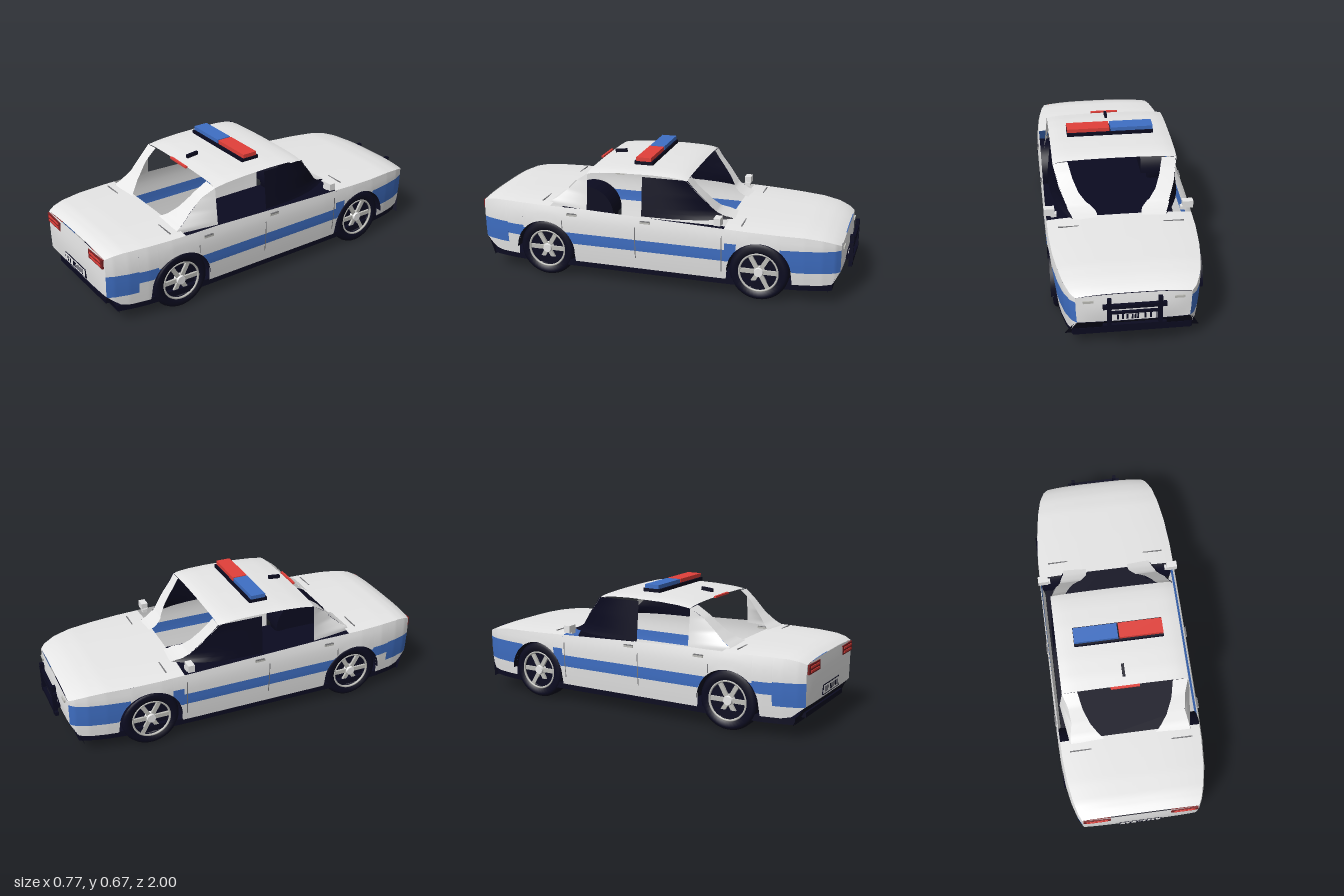
import * as THREE from 'three';

const mat = (name, color, side = THREE.DoubleSide) => {
  const m = new THREE.MeshStandardMaterial({ color, side });
  m.name = name;
  return m;
};

// Linear lookup in a table of [key, value], keys ascending
function look(table, t) {
  if (t <= table[0][0]) return table[0][1];
  for (let i = 1; i < table.length; i++) {
    const [a, p] = table[i - 1], [b, q] = table[i];
    if (t <= b) return p + (q - p) * (t - a) / (b - a);
  }
  return table[table.length - 1][1];
}
const mix = (a, b, t) => a + (b - a) * t;

// Body outline: half width along z, fullness by height, shoulder and sill heights
const WIDTH = [[-0.955, 0.275], [-0.93, 0.3], [-0.87, 0.327], [-0.78, 0.348], [-0.65, 0.367], [-0.5, 0.378], [-0.3, 0.381],
  [0.5, 0.381], [0.65, 0.377], [0.78, 0.366], [0.88, 0.347], [0.95, 0.325], [0.985, 0.306]];
const FULL = [[0.08, 0.945], [0.15, 0.97], [0.22, 0.99], [0.31, 1], [0.36, 0.99], [0.39, 0.975], [0.41, 0.955]];
const SHOULDER = [[-0.955, 0.312], [-0.93, 0.326], [-0.87, 0.345], [-0.78, 0.358], [-0.6, 0.366], [-0.35, 0.376], [0, 0.388],
  [0.4, 0.4], [0.8, 0.399], [0.9, 0.395], [0.95, 0.386], [0.985, 0.372]];
const SILL = [[-0.955, 0.17], [-0.92, 0.105], [-0.85, 0.1], [0.87, 0.1], [0.92, 0.11], [0.985, 0.165]];
const AXLES = [0.6, -0.555], ARCH = 0.163;
const sideX = (z, y) => look(WIDTH, z) * look(FULL, y);
const shoulder = (z) => look(SHOULDER, z);
function bottom(z) {
  let y = look(SILL, z);
  for (const a of AXLES) {
    const d = ARCH * ARCH - (z - a) ** 2;
    if (d > 0) y = Math.max(y, 0.15 + Math.sqrt(d));
  }
  return y;
}
const deckY = (z, u) => shoulder(z) + 0.013 * (1 - Math.abs(u) ** 3);

// Surface from a rule f(u, v) -> [x, y, z]
function surface(nu, nv, f) {
  const p = [], idx = [];
  for (let i = 0; i <= nu; i++) for (let j = 0; j <= nv; j++) p.push(...f(i / nu, j / nv));
  for (let i = 0; i < nu; i++) for (let j = 0; j < nv; j++) {
    const a = i * (nv + 1) + j, b = a + nv + 1;
    idx.push(a, b, a + 1, b, b + 1, a + 1);
  }
  const g = new THREE.BufferGeometry();
  g.setAttribute('position', new THREE.Float32BufferAttribute(p, 3));
  g.setIndex(idx);
  g.computeVertexNormals();
  return g;
}

export function createModel() {
  const car = new THREE.Group();
  car.name = 'patrolCar';
  const white = mat('white paint', 0xe8e8e8), blue = mat('blue', 0x3f6fc4), black = mat('black', 0x0b0b20);
  const red = mat('bright red', 0xe2403a), darkRed = mat('dark red', 0x7c2224);
  const silver = mat('silver', 0xbdbdb8), grey = mat('seam grey', 0x77777a);

  const add = (name, geo, m, parent = car) => {
    const mesh = new THREE.Mesh(geo, m);
    mesh.name = name;
    parent.add(mesh);
    return mesh;
  };
  const box = (name, m, w, h, d, x, y, z, parent = car) => {
    const b = add(name, new THREE.BoxGeometry(w, h, d), m, parent);
    b.position.set(x, y, z);
    return b;
  };

  // Side panels in three bands: [z start, z end, stripe low, stripe high]
  const bands = [[0.985, 0.83, 0.16, 0.28], [0.83, 0.73, 0.215, 0.275], [0.73, -0.38, 0.202, 0.264],
    [-0.38, -0.44, 0.2, 0.3], [-0.44, -0.66, 0.2, 0.264], [-0.66, -0.955, 0.168, 0.288]];
  for (const s of [1, -1]) {
    for (const [z0, z1, lo, hi] of bands) {
      const n = Math.ceil((z0 - z1) / 0.008);
      const edges = [bottom, (z) => Math.max(lo, bottom(z)), (z) => Math.max(hi, bottom(z)), shoulder];
      for (let k = 0; k < 3; k++) {
        add(k === 1 ? 'sideStripe' : 'sidePanel', surface(n, 4, (u, v) => {
          const z = mix(z0, z1, u), y = mix(edges[k](z), edges[k + 1](z), v);
          return [s * sideX(z, y), y, z];
        }), k === 1 ? blue : white);
      }
    }
  }

  // Hood and boot lid
  const deck = (name, z0, z1) => add(name, surface(24, 24, (u, v) => {
    const z = mix(z0, z1, u), t = v * 2 - 1;
    return [t * sideX(z, shoulder(z)), deckY(z, t), z];
  }), white);
  deck('hood', -0.955, -0.375);
  deck('bootLid', 0.57, 0.985);

  // Nose and tail faces, with black valances below
  for (const [name, z, dir] of [['nose', -0.955, -1], ['tail', 0.985, 1]]) {
    const faceZ = (t, v) => z + dir * (0.005 + 0.007 * Math.sin(Math.PI * v)) * (1 - t ** 4);
    add(name + 'Face', surface(20, 10, (u, v) => {
      const t = u * 2 - 1, y = mix(look(SILL, z), deckY(z, t), v);
      return [t * sideX(z, Math.min(y, shoulder(z))), y, faceZ(t, v)];
    }), white);
    add(name + 'Valance', surface(20, 4, (u, v) => {
      const t = u * 2 - 1, zz = mix(faceZ(t, 0), z - dir * 0.055, v);
      return [t * mix(sideX(z, 0.165), 0.325, v), mix(0.167, 0.068, v ** 1.3), zz];
    }), black);
  }
  box('rearSkid', black, 0.5, 0.025, 0.03, 0, 0.108, 0.952);

  // Underbody
  const plan = new THREE.Shape();
  const zs = Array.from({ length: 25 }, (_, i) => mix(-0.92, 0.935, i / 24));
  const rim = [...zs.map((z) => [sideX(z, 0.09) - 0.003, -z]), ...zs.slice().reverse().map((z) => [-sideX(z, 0.09) + 0.003, -z])];
  plan.setFromPoints(rim.map(([x, y]) => new THREE.Vector2(x, y)));
  const floor = new THREE.ExtrudeGeometry(plan, { depth: 0.034, bevelEnabled: false });
  floor.rotateX(-Math.PI / 2).translate(0, 0.07, 0);
  add('underbody', floor, black);

  // Roof
  const ROOF = [[-0.17, 0.603], [-0.14, 0.612], [-0.08, 0.618], [0.02, 0.621], [0.2, 0.617], [0.3, 0.61], [0.37, 0.6]];
  add('roof', surface(24, 24, (u, v) => {
    const z = mix(-0.17, 0.37, u), t = v * 2 - 1, a = Math.abs(t);
    return [t * 0.325, look(ROOF, z) - 0.008 * t * t - 0.008 * a ** 10, z];
  }), white);

  // Windscreen and rear window frames: sheets between opening edge and outer edge
  const INNER = [[0.4, 0.115], [0.415, 0.14], [0.43, 0.165], [0.47, 0.2], [0.53, 0.227], [0.6, 0.246]];
  const frontZ = [[0.385, -0.4], [0.395, -0.365], [0.42, -0.315], [0.5, -0.25], [0.56, -0.2], [0.603, -0.17]];
  const frontX = [[0.385, 0.24], [0.41, 0.262], [0.5, 0.3], [0.603, 0.325]];
  const rearZ = [[0.41, 0.59], [0.43, 0.555], [0.48, 0.5], [0.55, 0.435], [0.6, 0.37]];
  const rearX = [[0.41, 0.315], [0.48, 0.295], [0.55, 0.302], [0.6, 0.325]];
  for (const s of [1, -1]) {
    add('frontPillar', surface(24, 6, (u, v) => {
      const y = mix(0.385, 0.603, u), t = mix(look(INNER, y), look(frontX, y), v);
      return [s * t, y - 0.016 * u * (t / 0.325) ** 2, look(frontZ, y)];
    }), white);
    add('rearPillar', surface(24, 6, (u, v) => {
      const y = mix(0.408, 0.6, u), t = mix(look(INNER, y), look(rearX, y), v);
      return [s * t, y - 0.016 * u * (t / 0.325) ** 2, look(rearZ, y)];
    }), white);
    add('rearPillarSide', surface(24, 6, (u, v) => {
      const y = mix(0.39, 0.6, u);
      return [s * mix(look(rearX, y), mix(0.347, 0.325, u), v), y - 0.016 * u, mix(look(rearZ, y), 0.37, v)];
    }), white);
    // Front side window
    add('frontSideWindow', surface(16, 6, (u, v) => {
      const y = mix(0.385, 0.6, u);
      return [s * mix(mix(0.345, 0.324, u), look(frontX, y) - 0.002, v ** 3), y - 0.008 * u, mix(0.07, look(frontZ, y), v)];
    }), black);

    // Mirror
    box('mirror', white, 0.055, 0.038, 0.035, s * 0.358, 0.41, -0.342);
    box('mirrorStalk', white, 0.03, 0.02, 0.025, s * 0.335, 0.39, -0.345);

    // Door seams and handles
    for (const [z, y0, y1] of [[0.095, 0.16, 0.335], [-0.365, 0.14, 0.335], [0.5, 0.285, 0.33]]) {
      add('doorSeam', surface(8, 1, (u, v) => {
        const y = mix(y0, y1, u);
        return [s * (sideX(z, y) + 0.0015), y, z + (v - 0.5) * 0.005];
      }), grey);
    }
    for (const z of [0.445, 0.04]) {
      box('doorHandle', silver, 0.008, 0.012, 0.055, s * (sideX(z, 0.364) + 0.002), 0.364, z);
      box('handleGap', grey, 0.009, 0.004, 0.05, s * (sideX(z, 0.364) + 0.002), 0.37, z);
    }

    // Tail lamps and small nose lamps
    box('tailLamp', darkRed, 0.14, 0.048, 0.02, s * 0.226, 0.346, 0.985);
    for (const y of [0.356, 0.335]) box('tailLampStrip', red, 0.108, 0.01, 0.006, s * 0.226, y, 0.995);
    box('noseLamp', silver, 0.05, 0.012, 0.012, s * 0.215, 0.29, -0.961);
  }
  box('hoodSeam', grey, 0.64, 0.004, 0.006, 0, deckY(-0.455, 0.7), -0.455);
  box('bootSeam', grey, 0.64, 0.004, 0.006, 0, deckY(0.63, 0.7), 0.63);
  box('highBrakeLamp', red, 0.15, 0.01, 0.012, 0, 0.602, 0.378);

  // Number plates with plain marks
  for (const [z, y, d] of [[0.994, 0.204, 1], [-0.967, 0.2, -1]]) {
    box('plateFrame', black, 0.22, 0.052, 0.008, 0, y, z);
    box('plate', white, 0.21, 0.042, 0.008, 0, y, z + d * 0.001);
    for (const x of [-0.078, -0.053, -0.018, -0.006, 0.008, 0.032, 0.054, 0.077]) {
      box('plateMark', black, 0.009, 0.028, 0.008, x, y, z + d * 0.002);
    }
  }

  // Push bar on the nose
  for (const x of [-0.12, 0.12]) {
    box('pushBarPost', black, 0.02, 0.165, 0.022, x, 0.235, -0.989);
    box('pushBarMount', black, 0.016, 0.02, 0.04, x, 0.2, -0.968);
  }
  for (const y of [0.275, 0.165]) box('pushBarRail', black, 0.3, 0.02, 0.018, 0, y, -0.989);
  box('pushBarRail', black, 0.24, 0.012, 0.012, 0, 0.24, -0.989);

  // Light bar and aerial
  box('lightBarFoot', black, 0.024, 0.02, 0.05, 0, 0.622, 0.092);
  box('lightBarBase', black, 0.464, 0.018, 0.1, 0, 0.636, 0.092);
  box('blueBeacon', blue, 0.227, 0.021, 0.08, -0.117, 0.655, 0.092);
  box('redBeacon', red, 0.227, 0.021, 0.08, 0.117, 0.655, 0.092);
  box('aerial', black, 0.014, 0.018, 0.065, 0, 0.625, 0.295).rotation.x = 0.1;

  // Wheels and wheel wells
  const tyre = [[0.098, 0.005], [0.135, 0], [0.148, 0.008], [0.153, 0.022], [0.153, 0.075], [0.148, 0.088], [0.135, 0.096], [0.105, 0.096], [0.1, 0.075]];
  const tyreGeo = new THREE.LatheGeometry(tyre.map(([r, y]) => new THREE.Vector2(r, y)), 40);
  const wellGeo = new THREE.CylinderGeometry(ARCH, ARCH, 0.15, 32, 1, true, 0, Math.PI);
  for (const s of [1, -1]) for (const z of AXLES) {
    const wheel = new THREE.Group();
    wheel.name = 'wheel';
    wheel.position.set(s * 0.266, 0.153, z);
    wheel.rotation.z = -s * Math.PI / 2;
    add('tyre', tyreGeo, black, wheel);
    add('wheelBack', new THREE.CylinderGeometry(0.1, 0.1, 0.06, 32), black, wheel).position.y = 0.037;
    const ring = add('rimRing', new THREE.TorusGeometry(0.1, 0.006, 8, 36), silver, wheel);
    ring.rotation.x = Math.PI / 2;
    ring.position.y = 0.092;
    for (let i = 0; i < 6; i++) {
      const spoke = new THREE.Group();
      spoke.name = 'spoke';
      spoke.rotation.y = i * Math.PI / 3 + Math.PI / 6;
      box('spokeBar', silver, 0.08, 0.012, 0.022, 0.058, 0.08, 0, spoke);
      wheel.add(spoke);
    }
    add('hub', new THREE.CylinderGeometry(0.022, 0.03, 0.03, 20), white, wheel).position.y = 0.082;
    car.add(wheel);

    const well = add('wheelWell', wellGeo, black);
    well.rotation.z = Math.PI / 2;
    well.position.set(s * 0.302, 0.15, z);
    const wall = add('wheelWellWall', new THREE.CircleGeometry(ARCH, 32, 0, Math.PI), black);
    wall.rotation.y = Math.PI / 2;
    wall.position.set(s * 0.228, 0.15, z);
  }
  return car;
}
